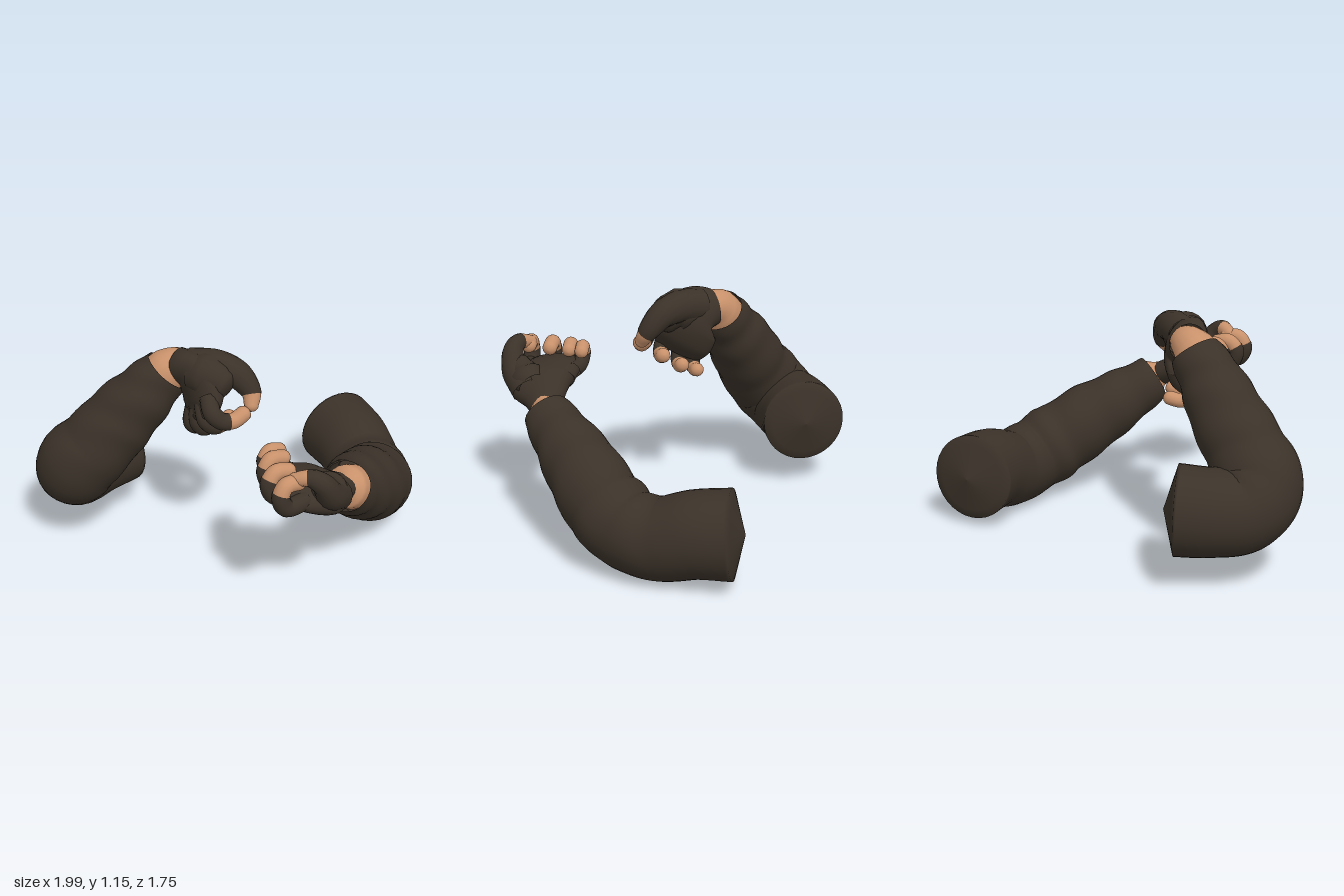
import * as THREE from 'three';

const V = (a) => new THREE.Vector3(a[0], a[1], a[2]);

// Sweeps an elliptical section along points [x, y, z, ra, rb]; optional closed end and wrinkles
function sweep(pts, side, { from = 0, to = 1, steps = 20, seg = 20, dome = 0, cone = false, wrinkle = 0 } = {}) {
  const path = new THREE.CatmullRomCurve3(pts.map(V));
  const radii = new THREE.CatmullRomCurve3(pts.map((p) => new THREE.Vector3(p[3], p[4] ?? p[3], 0)));
  const pos = [], index = [];
  let rings = 0;
  const ring = (t, push, shrink) => {
    const c = path.getPoint(t), d = path.getTangent(t), r = radii.getPoint(t);
    const s = V(side).addScaledVector(d, -V(side).dot(d)).normalize();
    const u = d.clone().cross(s);
    c.addScaledVector(d, push);
    for (let j = 0; j < seg; j++) {
      const a = (j / seg) * Math.PI * 2;
      const w = 1 + wrinkle * Math.sin(t * 42 + 1.5 * Math.cos(a) + Math.sin(2 * a)) * Math.max(0, 1 - t * 1.2);
      const k = shrink * w;
      const p = c.clone().addScaledVector(s, Math.cos(a) * r.x * k).addScaledVector(u, Math.sin(a) * r.y * k);
      pos.push(p.x, p.y, p.z);
    }
    rings++;
  };
  for (let i = 0; i <= steps; i++) ring(from + ((to - from) * i) / steps, 0, 1);
  if (dome) {
    for (let k = 1; k <= 5; k++) {
      const f = k / 5, a = f * Math.PI / 2;
      ring(to, dome * (cone ? f : Math.sin(a)), Math.max(cone ? 1 - f : Math.cos(a), 0.001));
    }
  }
  for (let i = 0; i < rings - 1; i++) {
    for (let j = 0; j < seg; j++) {
      const a = i * seg + j, b = i * seg + ((j + 1) % seg);
      index.push(a, b, a + seg, b, b + seg, a + seg);
    }
  }
  const g = new THREE.BufferGeometry();
  g.setAttribute('position', new THREE.Float32BufferAttribute(pos, 3));
  g.setIndex(index);
  g.computeVertexNormals();
  return g;
}

const arms = {
  left: {
    side: [0, 1, 0],
    sleeve: [[0.22, 0.59, 0.585, 0.124], [0.34, 0.5, 0.465, 0.158], [0.48, 0.4, 0.335, 0.19], [0.62, 0.29, 0.2, 0.2],
      [0.715, 0.22, 0.06, 0.2], [0.755, 0.205, -0.1, 0.203], [0.775, 0.25, -0.27, 0.212], [0.775, 0.262, -0.44, 0.22]],
    wrist: [[0.28, 0.55, 0.54, 0.114], [0.225, 0.59, 0.58, 0.108], [0.19, 0.612, 0.6, 0.07], [0.13, 0.64, 0.62, 0.05]],
    palmSide: [0, -0.15, 1],
    palm: [[0.215, 0.605, 0.6, 0.066, 0.06], [0.13, 0.635, 0.62, 0.11, 0.07], [0.01, 0.685, 0.66, 0.175, 0.088],
      [-0.09, 0.715, 0.645, 0.17, 0.072], [-0.18, 0.725, 0.64, 0.145, 0.05]],
    web: [[0.08, 0.68, 0.69, 0.08], [0.02, 0.72, 0.75, 0.08], [-0.02, 0.76, 0.79, 0.06]],
    thumb: [[0.09, 0.66, 0.72, 0.08], [0.01, 0.73, 0.8, 0.07], [-0.05, 0.82, 0.825, 0.054], [-0.1, 0.855, 0.805, 0.044], [-0.16, 0.84, 0.76, 0.036]],
    bareFrom: 0.58,
    fingers: [
      [[-0.1, 0.71, 0.76], [-0.21, 0.71, 0.775], [-0.24, 0.77, 0.775], [-0.21, 0.825, 0.77], [-0.14, 0.825, 0.765]],
      [[-0.1, 0.7, 0.67], [-0.21, 0.71, 0.66], [-0.24, 0.78, 0.655], [-0.2, 0.83, 0.65], [-0.13, 0.82, 0.65]],
      [[-0.08, 0.71, 0.57], [-0.18, 0.72, 0.555], [-0.205, 0.78, 0.55], [-0.17, 0.835, 0.545], [-0.1, 0.825, 0.54]],
      [[-0.05, 0.73, 0.51], [-0.14, 0.74, 0.49], [-0.17, 0.79, 0.48], [-0.14, 0.835, 0.475], [-0.085, 0.825, 0.47]],
    ],
  },
  right: {
    side: [0.066, -0.114, 0.165],
    sleeve: [[-0.36, 1.005, -0.21, 0.124], [-0.46, 0.885, -0.25, 0.155], [-0.57, 0.745, -0.31, 0.182], [-0.69, 0.595, -0.36, 0.196],
      [-0.785, 0.465, -0.43, 0.21], [-0.75, 0.375, -0.53, 0.205], [-0.61, 0.365, -0.615, 0.212], [-0.465, 0.37, -0.665, 0.218]],
    wrist: [[-0.4, 0.96, -0.225, 0.116], [-0.355, 1.01, -0.205, 0.108], [-0.31, 1.035, -0.18, 0.088], [-0.25, 1.03, -0.12, 0.06]],
    palmSide: [0, 0.5, 0.86],
    palm: [[-0.315, 1.035, -0.185, 0.096, 0.09], [-0.27, 1.025, -0.115, 0.135, 0.088], [-0.245, 0.97, -0.06, 0.175, 0.09],
      [-0.25, 0.89, -0.025, 0.178, 0.078], [-0.275, 0.825, 0.005, 0.155, 0.05]],
    web: [[-0.26, 1.03, -0.08, 0.1], [-0.21, 1.03, 0.01, 0.1], [-0.175, 1.0, 0.06, 0.085]],
    thumb: [[-0.27, 1.05, -0.12, 0.09], [-0.18, 1.065, -0.03, 0.085], [-0.1, 1.04, 0.05, 0.072], [-0.055, 0.96, 0.115, 0.053], [-0.07, 0.905, 0.15, 0.038]],
    bareFrom: 0.66,
    fingers: [
      [[-0.27, 0.97, 0.08], [-0.28, 0.91, 0.14], [-0.24, 0.865, 0.16], [-0.18, 0.855, 0.168], [-0.12, 0.88, 0.165]],
      [[-0.28, 0.91, 0.03], [-0.285, 0.84, 0.075], [-0.25, 0.8, 0.08], [-0.2, 0.79, 0.07], [-0.14, 0.81, 0.05]],
      [[-0.285, 0.87, -0.02], [-0.29, 0.79, -0.01], [-0.265, 0.75, -0.01], [-0.22, 0.735, -0.025], [-0.17, 0.755, -0.045]],
      [[-0.28, 0.84, -0.08], [-0.295, 0.76, -0.08], [-0.275, 0.725, -0.085], [-0.24, 0.712, -0.1], [-0.19, 0.725, -0.12]],
    ],
  },
};

export function createModel() {
  const model = new THREE.Group();
  model.name = 'armPair';
  const cloth = new THREE.MeshStandardMaterial({ color: 0x3b3229, side: THREE.DoubleSide });
  cloth.name = 'darkCloth';
  const skin = new THREE.MeshStandardMaterial({ color: 0xc8916b, side: THREE.DoubleSide });
  skin.name = 'skin';

  for (const [name, arm] of Object.entries(arms)) {
    const group = new THREE.Group();
    group.name = name + 'Arm';
    model.add(group);
    const add = (part, geometry, material) => {
      const mesh = new THREE.Mesh(geometry, material);
      mesh.name = part;
      group.add(mesh);
    };

    // Wrinkled sleeve, closed by a shallow cone at the shoulder
    add('sleeve', sweep(arm.sleeve, arm.side, { steps: 72, seg: 32, wrinkle: 0.035, dome: 0.06, cone: true }), cloth);

    // Bare wrist, gloved palm and the web between palm and thumb
    add('wrist', sweep(arm.wrist, arm.side), skin);
    add('glovePalm', sweep(arm.palm, arm.palmSide, { seg: 28, dome: 0.03 }), cloth);
    add('gloveWeb', sweep(arm.web, arm.palmSide, { steps: 8, dome: 0.04 }), cloth);

    // Thumb and fingers: glove up to the middle joint, bare beyond it
    const digit = (part, pts, split, tip) => {
      const bare = pts.map(([x, y, z, r]) => [x, y, z, r * 0.95]);
      add(part + 'Glove', sweep(pts, [0.1, 0.1, 1], { to: split, seg: 14 }), cloth);
      add(part + 'Tip', sweep(bare, [0.1, 0.1, 1], { from: split - 0.06, seg: 14, dome: tip }), skin);
    };
    digit('thumb', arm.thumb, 0.8, 0.032);
    arm.fingers.forEach((f, i) => {
      const r = 0.046 - i * 0.0015;
      digit('finger' + (i + 1), f.map((p, k) => [...p, r - k * 0.001]), arm.bareFrom, 0.033);
    });
  }
  return model;
}
